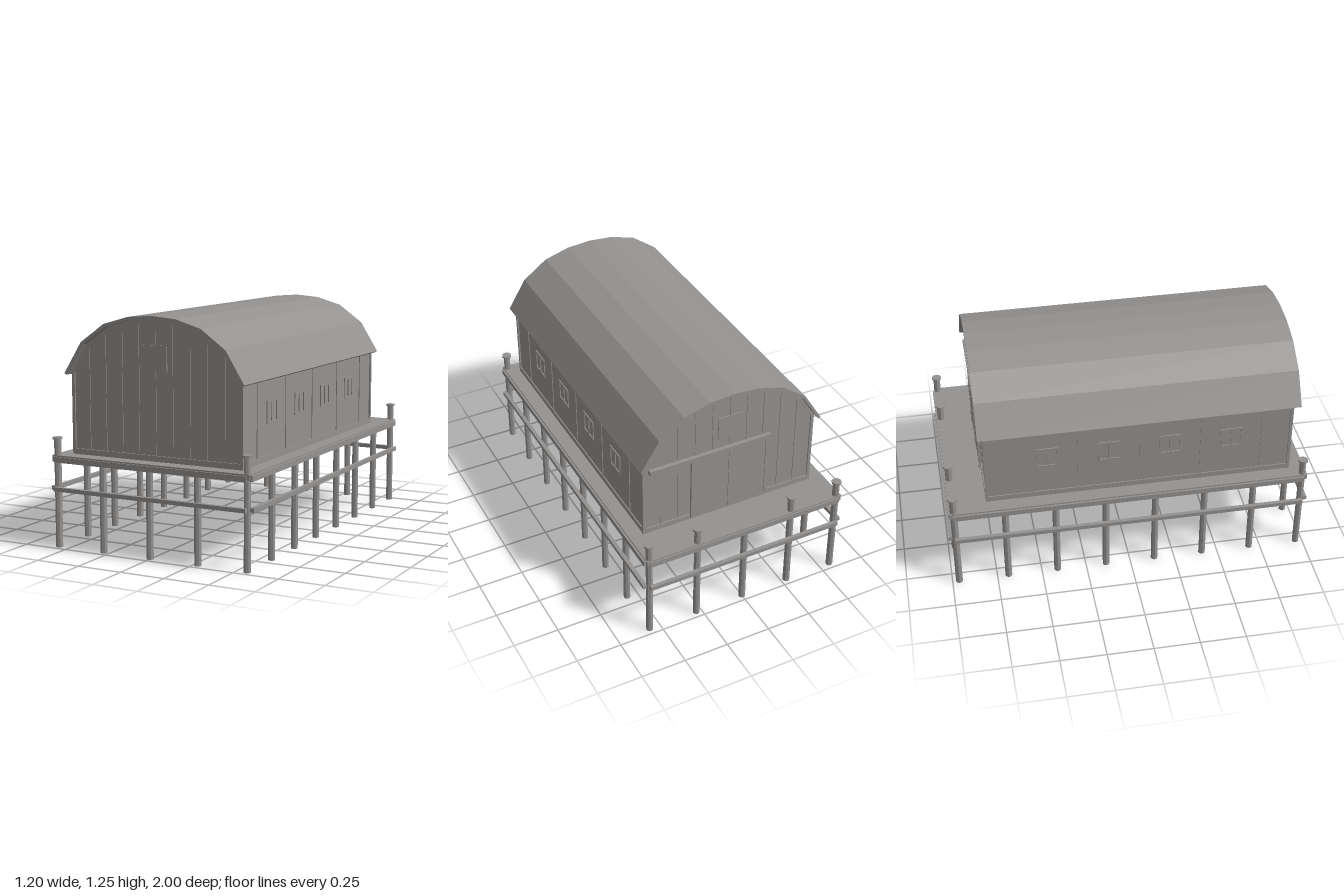
import * as THREE from 'three';

export function createModel() {
  const model = new THREE.Group();
  const wood = new THREE.MeshStandardMaterial({ color: 0x949290 });
  wood.name = 'weathered grey';

  function add(name, geometry, parent = model) {
    const mesh = new THREE.Mesh(geometry, wood);
    mesh.name = name;
    parent.add(mesh);
    return mesh;
  }
  // box given by its limits on each axis
  function box(name, x0, x1, y0, y1, z0, z1, parent) {
    const mesh = add(name, new THREE.BoxGeometry(x1 - x0, y1 - y0, z1 - z0), parent);
    mesh.position.set((x0 + x1) / 2, (y0 + y1) / 2, (z0 + z1) / 2);
    return mesh;
  }
  function extrude(name, points, z0, z1, parent) {
    const shape = new THREE.Shape(points.map(([x, y]) => new THREE.Vector2(x, y)));
    const g = new THREE.ExtrudeGeometry(shape, { depth: z1 - z0, bevelEnabled: false });
    g.translate(0, 0, z0);
    return add(name, g, parent);
  }
  // half profile, from eave to ridge, mirrored into a full arch
  const arch = half => [...half, ...half.slice(0, -1).reverse().map(([x, y]) => [-x, y])];

  const roofOuter = arch([[0.53, 0.932], [0.425, 1.1], [0.285, 1.2], [0.14, 1.242], [0, 1.253]]);
  const roofInner = arch([[0.517, 0.924], [0.414, 1.087], [0.279, 1.184], [0.137, 1.226], [0, 1.237]]);
  const trimInner = arch([[0.485, 0.94], [0.4, 1.07], [0.275, 1.163], [0.13, 1.2], [0, 1.214]]);

  // height of the gable under the trim at a given x
  function gableTop(x) {
    const a = Math.abs(x);
    for (let i = 0; i < 4; i++) {
      const [x0, y0] = trimInner[i], [x1, y1] = trimInner[i + 1];
      if (a <= x0 && a >= x1) return y1 + (y0 - y1) * (a - x1) / (x0 - x1);
    }
    return 0.94;
  }

  // barn body and roof shell
  const barn = new THREE.Group();
  barn.name = 'barn';
  model.add(barn);
  const FRONT = 0.893, BACK = -0.773, WALL = 0.498;
  const upper = roofInner.slice(1, -1);
  extrude('walls', [[WALL, 0.5], [WALL, 0.953], ...upper, [-WALL, 0.953], [-WALL, 0.5]], BACK, FRONT, barn);
  extrude('roof', [...roofOuter, ...roofInner.slice().reverse()], -0.808, 0.934, barn);

  // gable trim, boards and loft hatch at both ends
  for (const [end, face, s] of [['front', FRONT, 1], ['back', BACK, -1]]) {
    const span = t => s > 0 ? [face, face + t] : [face - t, face];
    const [a, b] = span(0.008);
    extrude(end + 'ArchTrim', [...roofInner.map(([x, y]) => [x * 0.985, y]), ...trimInner.slice().reverse()], a, b, barn);
    box(end + 'BaseTrim', -0.49, 0.49, 0.5, 0.53, a, b, barn);
    for (const side of [-1, 1])
      box(end + 'CornerTrim', side * 0.4975 - 0.0085, side * 0.4975 + 0.0085, 0.5, 0.95, a, b, barn);
    for (let i = -4; i <= 4; i++) {
      const x = i * 0.1;
      box(end + 'Batten', x - 0.004, x + 0.004, 0.53, gableTop(x), ...span(0.004), barn);
    }
    box(end + 'LoftHatch', -0.07, 0.07, 0.97, 1.1, ...span(0.006), barn);
  }

  // sliding door hung on a rail
  box('slidingDoor', -0.23, 0.23, 0.51, 0.885, -0.788, -0.779, barn);
  for (const x of [-0.22, 0, 0.22])
    box('doorStile', x - 0.01, x + 0.01, 0.51, 0.885, -0.792, -0.788, barn);
  box('doorTrack', -0.24, 0.47, 0.885, 0.91, -0.796, -0.773, barn);

  // long sides: trim, battens and framed windows
  for (const s of [-1, 1]) {
    const span = t => s > 0 ? [WALL, WALL + t] : [-WALL - t, -WALL];
    for (const z of [[0.885, 0.901], [-0.781, -0.765]])
      box('sideCornerTrim', ...span(0.008), 0.5, 0.945, ...z, barn);
    box('sideBaseTrim', ...span(0.006), 0.5, 0.53, -0.765, 0.885, barn);
    for (let i = 0; i < 5; i++) {
      const z = 0.06 + (i - 2) * 0.335;
      box('sideBatten', ...span(0.004), 0.53, 0.945, z - 0.004, z + 0.004, barn);
    }
    for (let i = 0; i < 4; i++) {
      const z = 0.06 + (i - 1.5) * 0.335;
      for (const y of [0.7, 0.81])
        box('windowRail', ...span(0.006), y - 0.005, y + 0.005, z - 0.06, z + 0.06, barn);
      for (const d of [-0.055, 0, 0.055])
        box('windowStile', ...span(0.005), 0.705, 0.805, z + d - 0.005, z + d + 0.005, barn);
    }
  }

  // deck with edge beams and lower rails
  const pier = new THREE.Group();
  pier.name = 'pier';
  model.add(pier);
  box('deck', -0.583, 0.583, 0.47, 0.5, -0.983, 0.983, pier);
  for (const s of [-1, 1]) {
    const range = (a, b) => s > 0 ? [a, b] : [-b, -a];
    box('sideBeam', ...range(0.573, 0.594), 0.462, 0.492, -0.968, 0.968, pier);
    box('endBeam', -0.568, 0.568, 0.462, 0.492, ...range(0.97, 0.991), pier);
    box('sideRail', ...range(0.578, 0.6), 0.308, 0.33, -0.968, 0.968, pier);
    box('endRail', -0.568, 0.568, 0.308, 0.33, ...range(0.978, 1), pier);
  }

  // piles around the edge, some rising through the deck with caps
  function cylinder(name, r, y0, y1, x, z) {
    const g = new THREE.CylinderGeometry(r, r, y1 - y0, 8).toNonIndexed();
    g.computeVertexNormals();
    add(name, g, pier).position.set(x, (y0 + y1) / 2, z);
  }
  function pile(x, z, tall) {
    cylinder('pile', 0.019, 0, tall ? 0.585 : 0.47, x, z);
    if (tall) cylinder('pileCap', 0.027, 0.583, 0.594, x, z);
  }
  for (const z of [-0.962, 0.962])
    for (let i = -2; i <= 2; i++)
      pile(i * 0.281, z, Math.abs(i) === 2 || (z < 0 && i !== 0));
  for (const x of [-0.562, 0.562])
    for (let i = 1; i < 7; i++) pile(x, -0.962 + i * 0.2749, false);

  return model;
}
